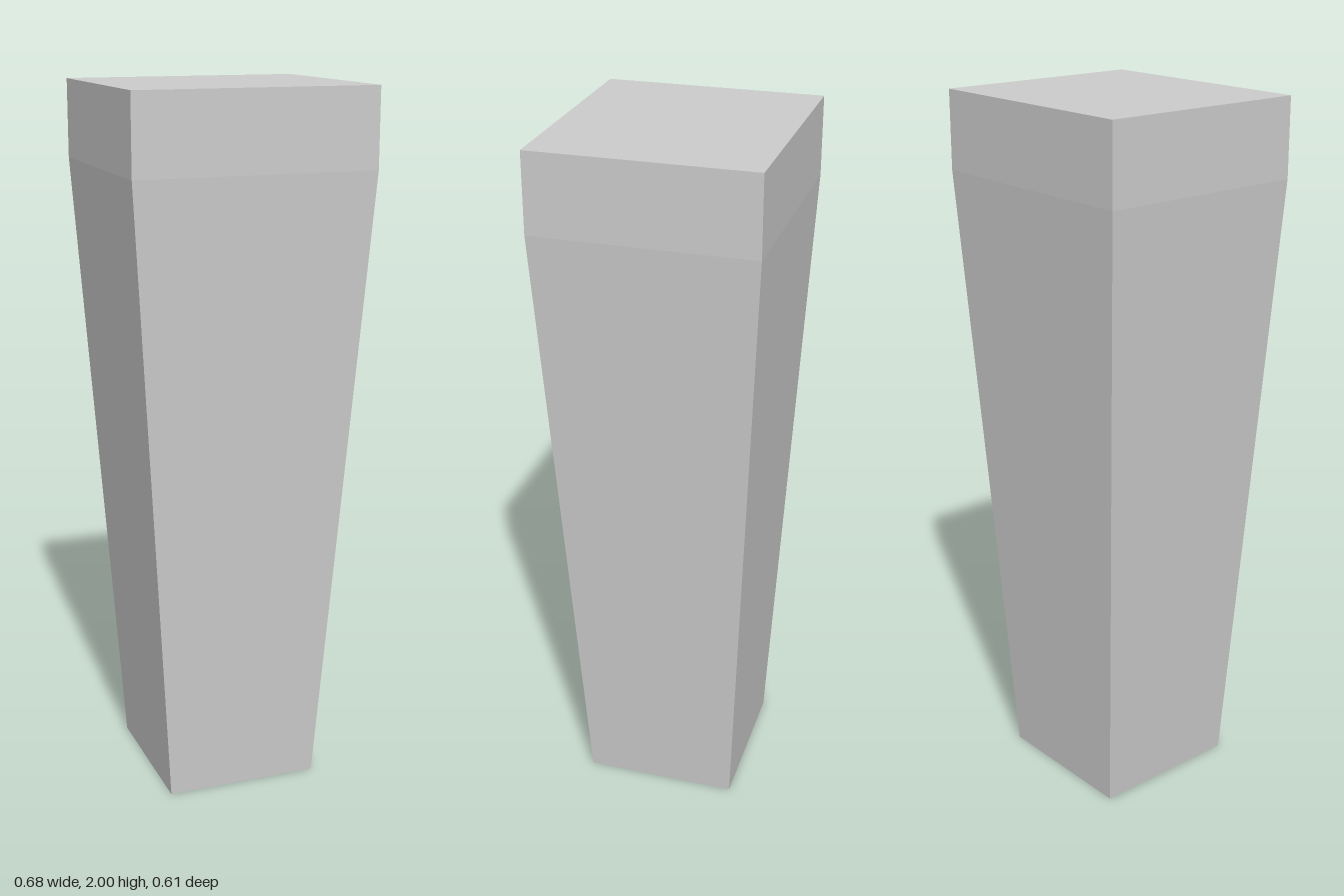
import * as THREE from 'three';

// Cross-sections from floor to top: height, half width, half depth, x shift
const sections = [
  { y: 0, w: 0.22, d: 0.22, x: -0.004 },
  { y: 1.78, w: 0.341, d: 0.306, x: 0 },
  { y: 2, w: 0.341, d: 0.306, x: 0 },
];

export function createModel() {
  const group = new THREE.Group();
  group.name = 'taperedLeg';

  // Box with one row of vertices per cross-section
  const geometry = new THREE.BoxGeometry(2, 2, 2, 1, 2, 1);
  const pos = geometry.attributes.position;
  for (let i = 0; i < pos.count; i++) {
    const s = sections[Math.round(pos.getY(i)) + 1];
    pos.setXYZ(i, s.x + pos.getX(i) * s.w, s.y, pos.getZ(i) * s.d);
  }
  geometry.computeVertexNormals();

  const material = new THREE.MeshStandardMaterial({ color: 0xcccccc, flatShading: true });
  const leg = new THREE.Mesh(geometry, material);
  leg.name = 'leg';
  group.add(leg);
  return group;
}
